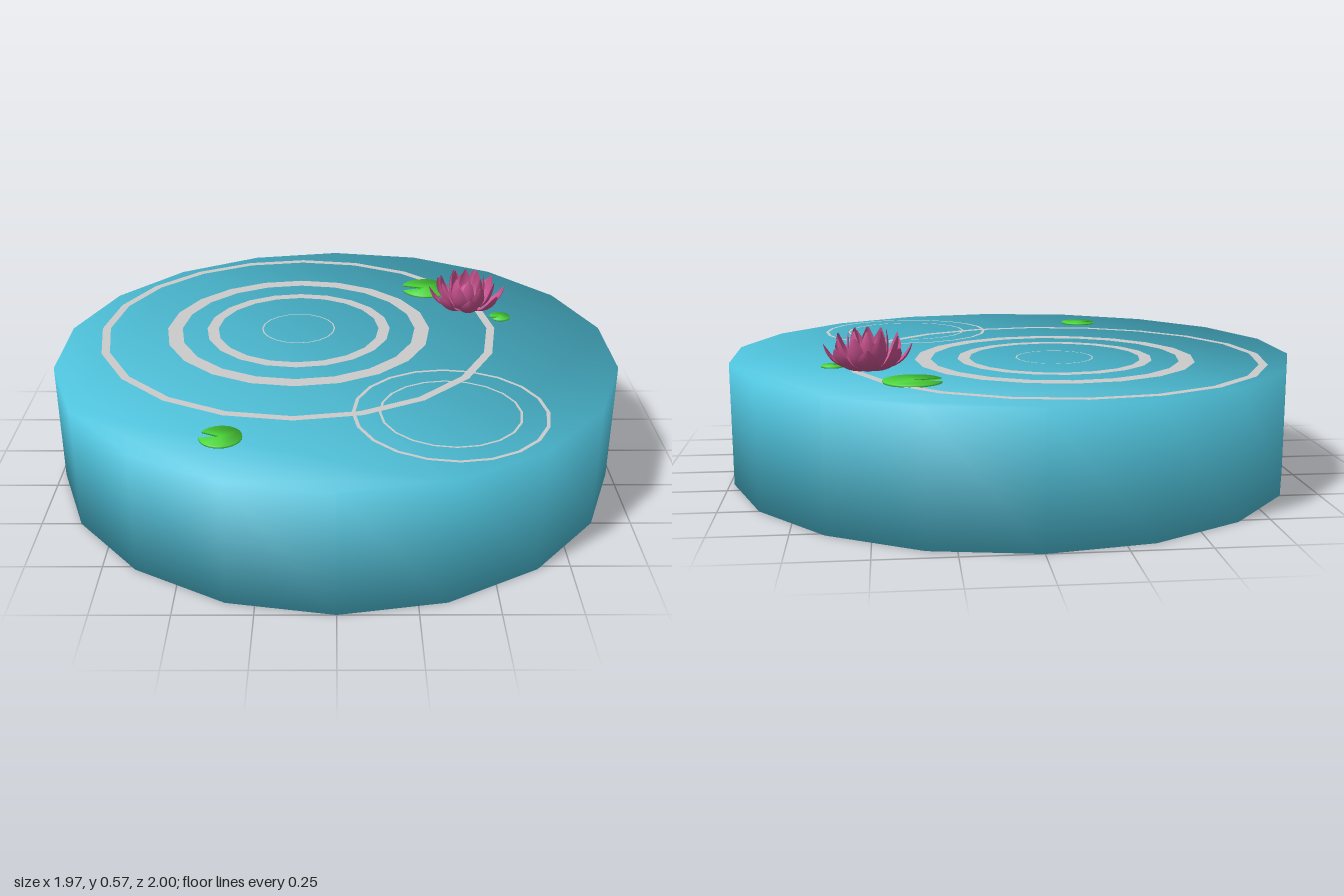
import * as THREE from 'three';

const WATER = 0.43;
const mat = (color) => new THREE.MeshStandardMaterial({ color, side: THREE.DoubleSide });

function add(parent, name, geometry, material, x = 0, y = 0, z = 0) {
  const mesh = new THREE.Mesh(geometry, material);
  mesh.name = name;
  mesh.position.set(x, y, z);
  parent.add(mesh);
  return mesh;
}

// Upright prism whose caps and walls share softly blended normals
function softPrism(points, height) {
  const geo = new THREE.ExtrudeGeometry(new THREE.Shape(points), { depth: height, bevelEnabled: false });
  geo.rotateX(-Math.PI / 2);
  const p = geo.attributes.position;
  const n = new THREE.Vector3();
  for (let i = 0; i < p.count; i++) {
    n.set(p.getX(i), 0, p.getZ(i));
    if (n.length() > 1e-5) n.normalize();
    n.y = p.getY(i) > height / 2 ? 0.9 : -0.9;
    n.normalize();
    geo.attributes.normal.setXYZ(i, n.x, n.y, n.z);
  }
  return geo;
}

// Points along a circle, from angle a over a sweep
function arc(radius, steps, a, sweep) {
  return Array.from({ length: steps }, (_, i) => {
    const t = a + (sweep * i) / steps;
    return new THREE.Vector2(radius * Math.cos(t), radius * Math.sin(t));
  });
}

// Round leaf with a wedge cut out on one side
function padGeometry(radius) {
  const gap = 0.6;
  const rim = arc(radius, 25, Math.PI + gap / 2, (2 * Math.PI - gap) * 25 / 24);
  return softPrism([new THREE.Vector2(0, 0), ...rim], 0.006);
}

// Cupped petal following a curve of (radius, height)
function petalGeometry(reach, belly, tip, width) {
  const path = new THREE.QuadraticBezierCurve(
    new THREE.Vector2(0.012, 0.002), new THREE.Vector2(...belly), new THREE.Vector2(reach, tip));
  const geo = new THREE.PlaneGeometry(1, 1, 4, 8);
  const p = geo.attributes.position;
  for (let i = 0; i < p.count; i++) {
    const u = p.getX(i) * 2;
    const t = p.getY(i) + 0.5;
    const c = path.getPoint(t);
    const tan = path.getTangent(t);
    const half = (width / 2) * (0.25 + 0.75 * Math.sin(Math.PI * Math.min(1, t * 0.75))) *
      Math.sqrt(Math.max(0.04, 1 - Math.pow(t, 6)));
    const cup = 0.3 * half * u * u;
    p.setXYZ(i, half * u, c.y + cup * tan.x, c.x - cup * tan.y);
  }
  geo.computeVertexNormals();
  return geo;
}

export function createModel() {
  const model = new THREE.Group();
  model.name = 'lilyPond';
  const grey = mat(0xcccccc);
  const green = mat(0x4bd639);
  const pink = mat(0xc8528f);

  // Body of water
  add(model, 'water', softPrism(arc(1, 18, Math.PI / 2, Math.PI * 2), WATER), mat(0x4fc3dc));

  // Ripples: two sets of concentric rings [x, z, inner, outer]
  const ripples = [
    [-0.14, -0.17, 0.705, 0.735], [-0.14, -0.17, 0.435, 0.49],
    [-0.14, -0.17, 0.3, 0.342], [-0.14, -0.17, 0.132, 0.137],
    [0.37, 0.51, 0.309, 0.321], [0.37, 0.51, 0.225, 0.233],
  ];
  ripples.forEach(([x, z, inner, outer], i) => {
    const ring = new THREE.RingGeometry(inner, outer, 20).rotateX(-Math.PI / 2);
    add(model, `ripple${i + 1}`, ring, grey, x, WATER + 0.0015, z);
  });

  // Lily pads [x, z, radius, turn]
  const pads = [[0.365, -0.57, 0.096, 0], [-0.36, 0.675, 0.068, -0.15], [0.628, -0.275, 0.039, 0.4]];
  pads.forEach(([x, z, r, turn], i) => {
    add(model, `lilyPad${i + 1}`, padGeometry(r), green, x, WATER, z).rotation.y = turn;
  });

  // Flower: rings of petals, steeper towards the middle
  const flower = new THREE.Group();
  flower.name = 'flower';
  flower.position.set(0.507, WATER, -0.365);
  model.add(flower);
  const layers = [
    { name: 'outerPetal', count: 8, offset: 0, geo: petalGeometry(0.146, [0.13, 0.005], 0.09, 0.066) },
    { name: 'middlePetal', count: 8, offset: 0.5, geo: petalGeometry(0.108, [0.105, 0.01], 0.122, 0.06) },
    { name: 'innerPetal', count: 8, offset: 0, geo: petalGeometry(0.062, [0.088, 0.025], 0.138, 0.05) },
  ];
  for (const { name, count, offset, geo } of layers) {
    for (let i = 0; i < count; i++) {
      add(flower, `${name}${i + 1}`, geo, pink).rotation.y = ((i + offset) / count) * Math.PI * 2;
    }
  }

  // Bud in the middle of the flower
  const bud = add(flower, 'bud', new THREE.SphereGeometry(0.03, 12, 8), pink, 0, 0.055, 0);
  bud.scale.y = 1.6;

  return model;
}
